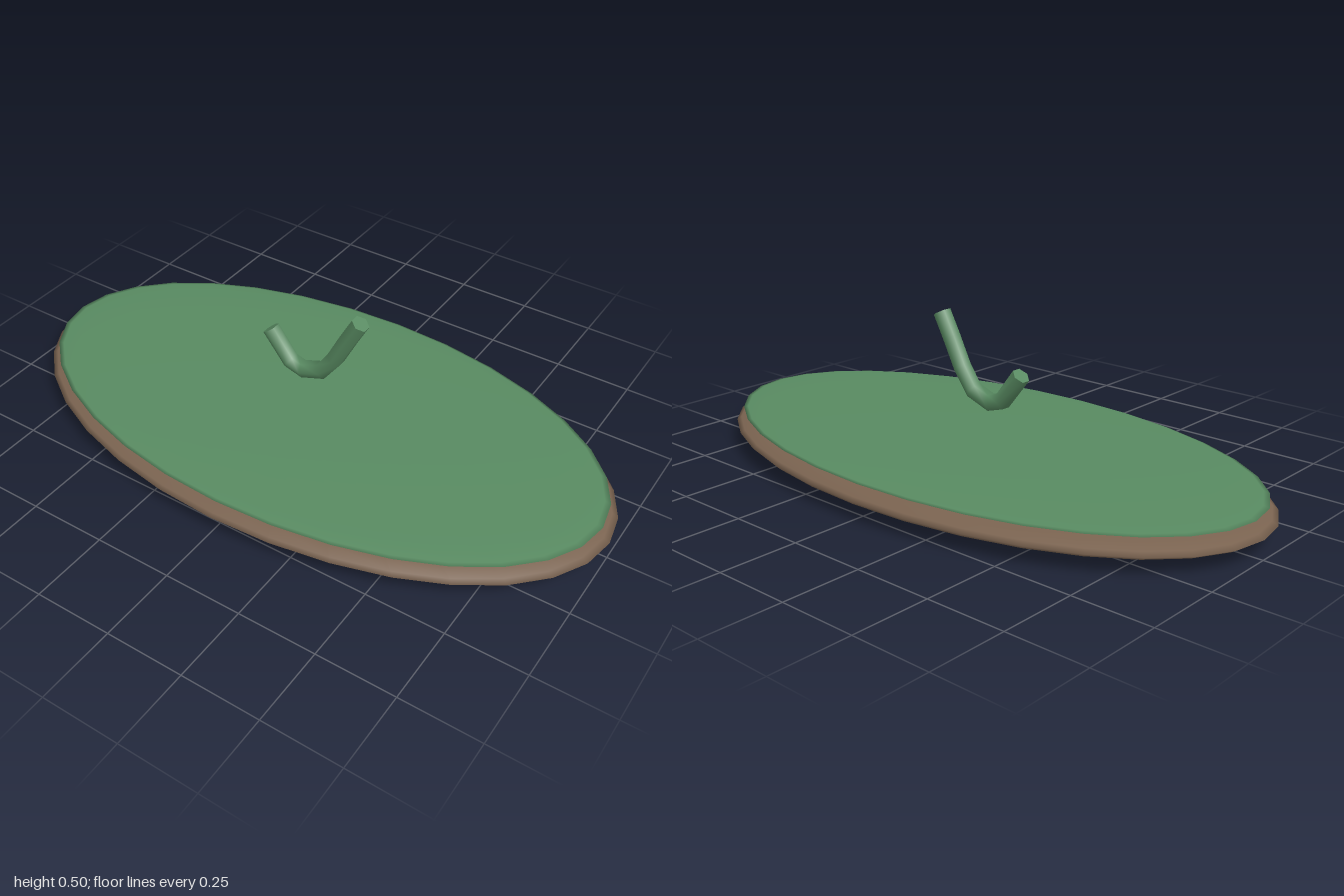
import * as THREE from 'three';

export function createModel() {
  const group = new THREE.Group();
  const green = new THREE.MeshStandardMaterial({ name: 'leaf green', color: 0x588a61 });
  const brown = new THREE.MeshStandardMaterial({ name: 'earth brown', color: 0x7a6350 });

  const add = (name, geometry, material, parent = group) => {
    const mesh = new THREE.Mesh(geometry, material);
    mesh.name = name;
    parent.add(mesh);
    return mesh;
  };

  // Flattened oval discs: earth below, grass on top
  const oval = (name, rx, ry, rz, y, material) => {
    const geometry = new THREE.SphereGeometry(1, 32, 16).scale(rx, ry, rz);
    add(name, geometry, material).position.y = y;
  };
  oval('earthBase', 1, 0.058, 0.545, 0.058, brown);
  oval('grassTop', 0.973, 0.018, 0.52, 0.104, green);

  // Bent six-sided stem floating above the disc
  const path = new THREE.CatmullRomCurve3([
    [-0.163, 0.34], [-0.09, 0.246], [-0.043, 0.232], [0.027, 0.257],
    [0.075, 0.323], [0.12, 0.411], [0.16, 0.484],
  ].map(([x, y]) => new THREE.Vector3(x, y, 0)));
  path.getUtoTmapping = (u) => u; // keep the rings on the given points
  const radius = 0.0285;
  const stem = new THREE.Group();
  stem.name = 'stem';
  group.add(stem);
  add('stemTube', new THREE.TubeGeometry(path, 6, radius, 6), green, stem);

  // Flat caps closing both stem ends
  const zAxis = new THREE.Vector3(0, 0, 1);
  for (const [name, t, sign] of [['stemStartCap', 0, -1], ['stemEndCap', 1, 1]]) {
    const out = path.getTangent(t).multiplyScalar(sign);
    const side = new THREE.Vector3().crossVectors(out, zAxis);
    const matrix = new THREE.Matrix4().makeBasis(zAxis, side, out).setPosition(path.getPoint(t));
    add(name, new THREE.CircleGeometry(radius, 6).applyMatrix4(matrix), green, stem);
  }

  return group;
}
